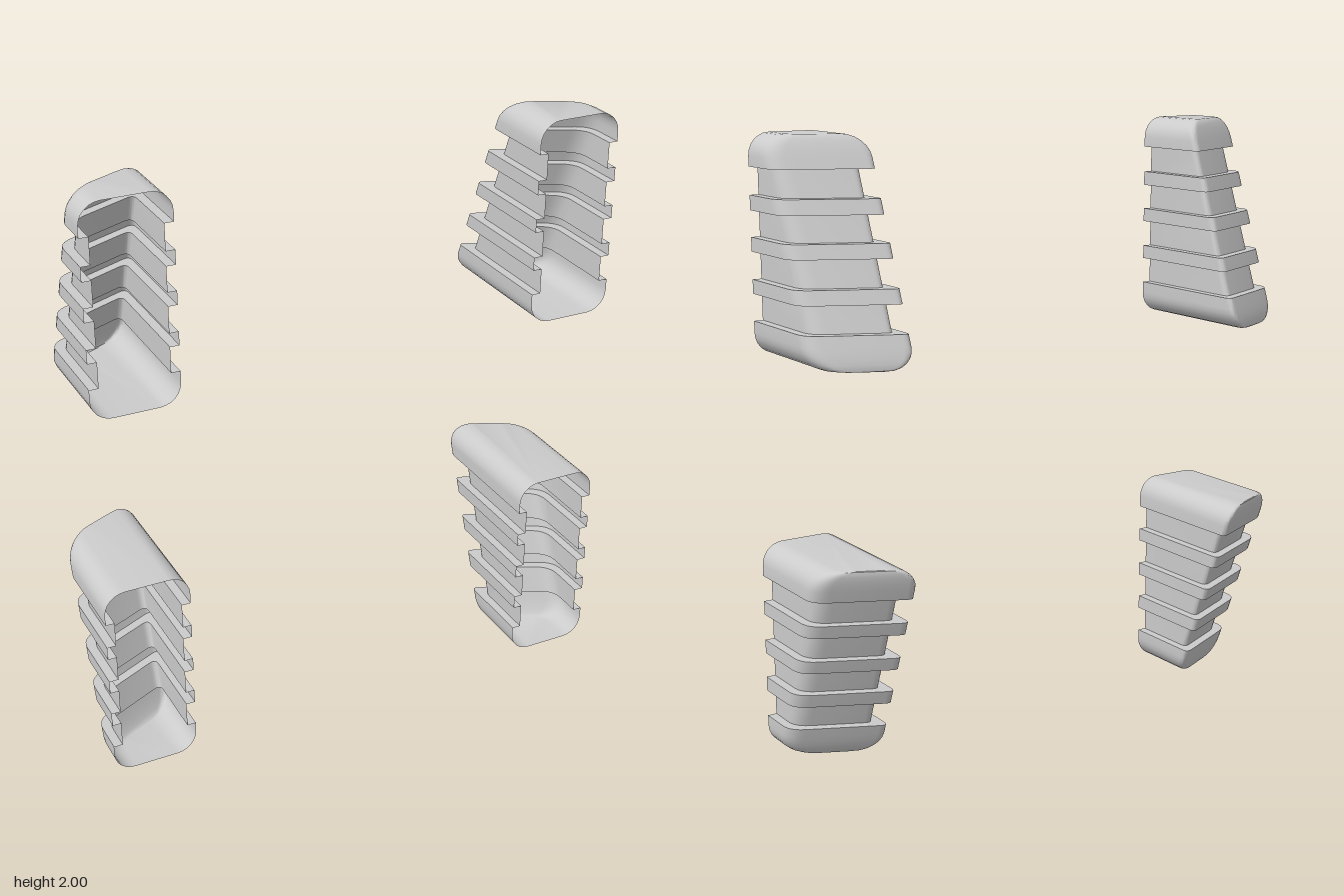
import * as THREE from 'three';
import { toCreasedNormals } from 'three/addons/utils/BufferGeometryUtils.js';

const X0 = 0.617, X1 = 0.906, FRONT = 0.25, HEIGHT = 0.69;
const SEG = 6;

// Slanted back face: leans backwards with height and forwards towards the outside
const backZ = (x, y) => -0.005 - 0.396 * y + 0.48 * (x - X0);

// U-shaped section at height y, open at the front, with rounded back corners
function section(y, side, back) {
  const a = X0 + side, b = X1 - side;
  const v = (x, z) => new THREE.Vector2(x, z);
  const inner = v(a, backZ(a, y) + back), outer = v(b, backZ(b, y) + back);
  const along = outer.clone().sub(inner).normalize();
  const innerBend = new THREE.QuadraticBezierCurve(
    v(a, inner.y + 0.03), inner, inner.clone().addScaledVector(along, 0.03));
  const outerBend = new THREE.QuadraticBezierCurve(
    outer.clone().addScaledVector(along, -0.05), outer, v(b, outer.y + 0.05));
  return [v(a, FRONT), ...innerBend.getPoints(SEG), ...outerBend.getPoints(SEG), v(b, FRONT)]
    .map(p => [p.x, y, p.y]);
}

// Heights with side and back insets: rounded ends, ribs and grooves
function profile() {
  const R = 0.07, rows = [];
  const arc = i => {
    const t = (i / SEG) * Math.PI / 2;
    return [R * (1 - Math.cos(t)), R * (1 - Math.sin(t)), 0.012 * (1 - Math.sin(t))];
  };
  for (let i = 0; i <= SEG; i++) {
    const [y, side, back] = arc(i);
    rows.push([y, side, back]);
  }
  const edges = [0.103, 0.19, 0.237, 0.32, 0.365, 0.452, 0.497, 0.583];
  edges.forEach((y, i) => {
    const rib = [y, 0, 0], groove = [y, 0.03, 0.035];
    rows.push(...(i % 2 ? [groove, rib] : [rib, groove]));
  });
  for (let i = SEG; i >= 0; i--) {
    const [y, side, back] = arc(i);
    rows.push([HEIGHT - y, side, back]);
  }
  return rows;
}

// Hollow ribbed shell, optionally mirrored left-right and top-bottom
function shellGeometry(mirrorX, mirrorY) {
  const rings = profile().map(r => section(...r));
  const n = rings[0].length, last = (rings.length - 1) * n;
  const index = [];
  for (let r = 0; r < rings.length - 1; r++) {
    for (let i = 0; i < n - 1; i++) {
      const p = r * n + i, q = p + n;
      index.push(p, q, p + 1, p + 1, q, q + 1);
    }
  }
  // Flat end faces
  for (let i = 1; i < n - 1; i++) {
    index.push(0, i, i + 1, last, last + i + 1, last + i);
  }
  const positions = rings.flat().flatMap(([x, y, z]) =>
    [mirrorX ? -x : x, mirrorY ? 2 - y : y, z]);
  if (mirrorX !== mirrorY) index.reverse();
  const g = new THREE.BufferGeometry();
  g.setAttribute('position', new THREE.Float32BufferAttribute(positions, 3));
  g.setIndex(index);
  return toCreasedNormals(g, 0.6);
}

export function createModel() {
  const group = new THREE.Group();
  const material = new THREE.MeshStandardMaterial({ color: 0xcccccc, side: THREE.DoubleSide });
  for (const right of [false, true]) {
    for (const upper of [false, true]) {
      const mesh = new THREE.Mesh(shellGeometry(right, upper), material);
      mesh.name = (upper ? 'upper' : 'lower') + (right ? 'Right' : 'Left') + 'RibbedShell';
      group.add(mesh);
    }
  }
  return group;
}
